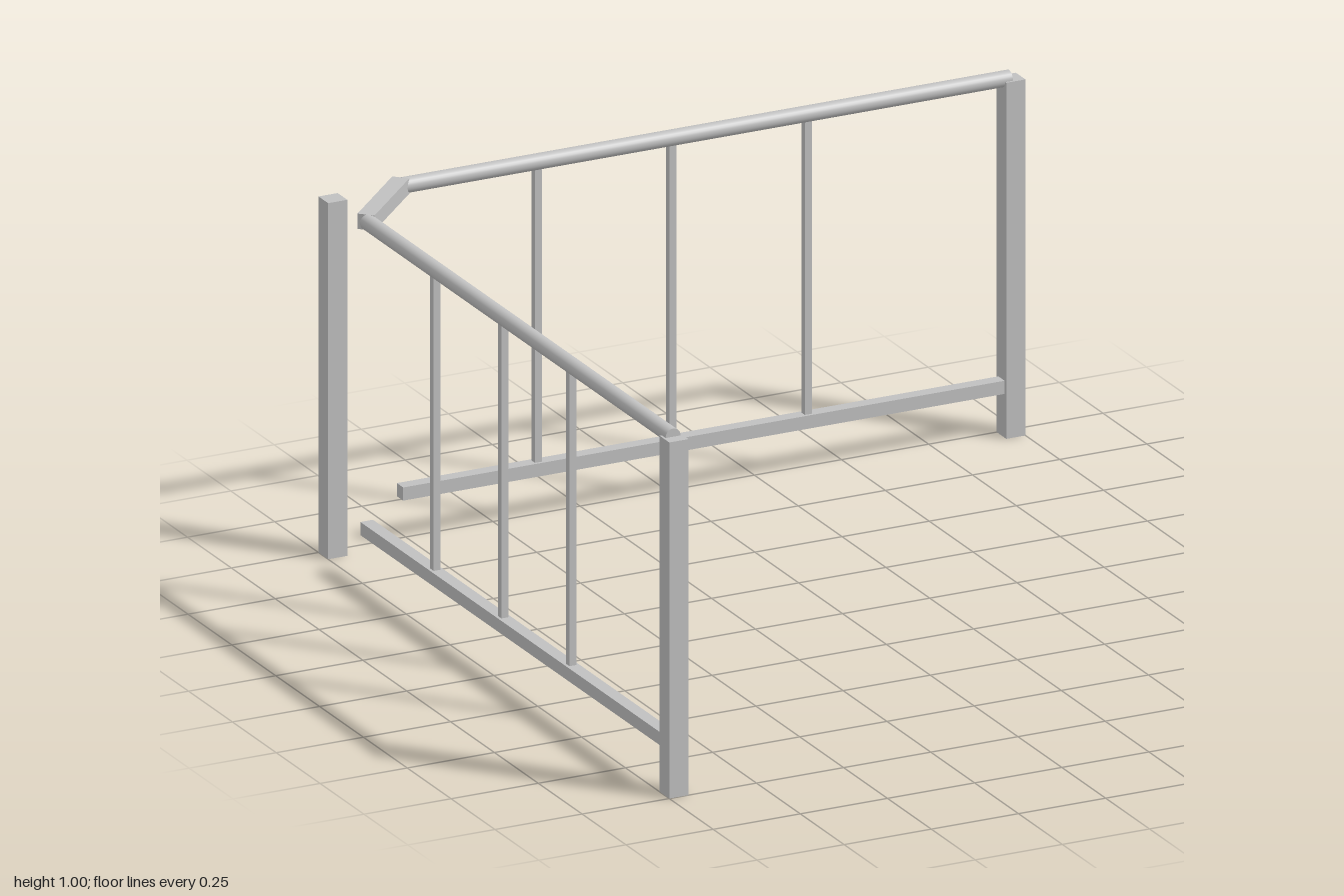
import * as THREE from 'three';

export function createModel() {
  const model = new THREE.Group();
  model.name = 'cornerRailing';
  const steel = new THREE.MeshStandardMaterial({ color: 0xc0c0c0 });
  steel.name = 'grey steel';

  const POST = 0.055;              // post thickness
  const EDGE = 1 - POST / 2;       // centre line of posts and panels
  const RAIL_Y = 0.976, RAIL_R = 0.0215;
  const INNER = -0.78;             // where a panel stops short of the corner

  function add(parent, name, geometry, x, y, z) {
    const mesh = new THREE.Mesh(geometry, steel);
    mesh.name = name;
    mesh.position.set(x, y, z);
    parent.add(mesh);
    return mesh;
  }

  // Square posts: the two ends and the free-standing corner
  for (const [name, x, z] of [
    ['rightEndPost', EDGE, -EDGE], ['frontEndPost', -EDGE, EDGE], ['cornerPost', -EDGE, -EDGE],
  ]) add(model, name, new THREE.BoxGeometry(POST, 0.975, POST), x, 0.4875, z);

  // Railing panel along x; dir flips which end meets the corner
  function panel(name, dir) {
    const group = new THREE.Group();
    group.name = name;
    const railEnd = 0.967, railStart = -0.775;
    const handrail = new THREE.CylinderGeometry(RAIL_R, RAIL_R, railEnd - railStart, 24).rotateZ(Math.PI / 2);
    add(group, 'handrail', handrail, dir * (railEnd + railStart) / 2, RAIL_Y, -EDGE);

    const lowEnd = 1 - POST;
    add(group, 'bottomRail', new THREE.BoxGeometry(lowEnd - INNER, 0.036, 0.036),
      dir * (lowEnd + INNER) / 2, 0.138, -EDGE);

    for (const x of [-0.388, -0.002, 0.386]) {
      add(group, 'baluster', new THREE.BoxGeometry(0.02, 0.81, 0.02), dir * x, 0.56, -EDGE);
    }
    model.add(group);
    return group;
  }
  panel('backPanel', 1);
  panel('sidePanel', -1).rotation.y = Math.PI / 2;

  // Square bar bridging the two handrails across the corner
  const mid = (INNER - EDGE) / 2;
  const length = Math.SQRT2 * (EDGE + INNER) + 0.012;
  const link = add(model, 'cornerHandrail', new THREE.BoxGeometry(length, 0.042, 0.046), mid, RAIL_Y, mid);
  link.rotation.y = Math.PI / 4;

  return model;
}
